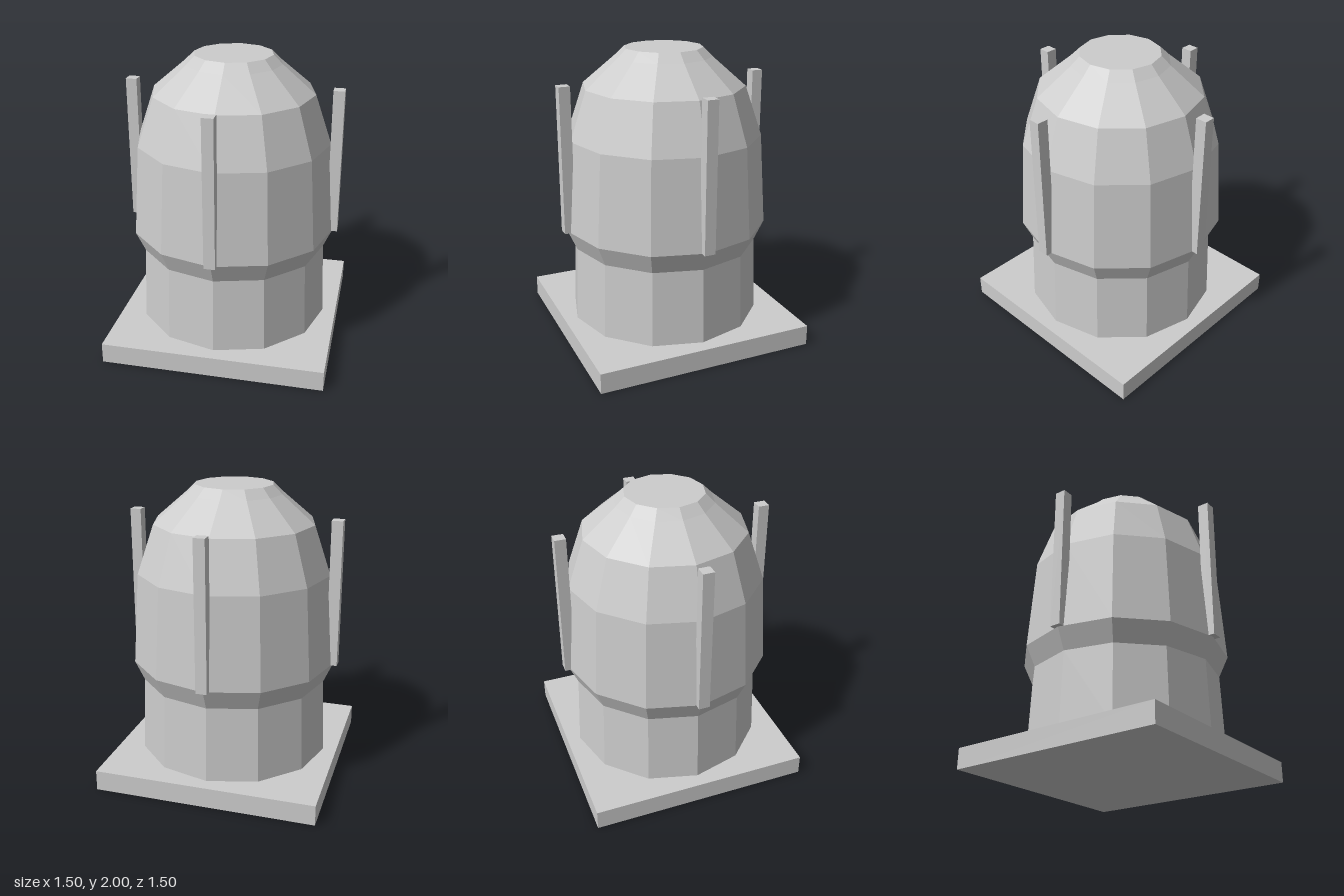
import * as THREE from 'three';

export function createModel() {
  const model = new THREE.Group();
  const grey = new THREE.MeshStandardMaterial({ color: 0xcccccc, flatShading: true });
  grey.name = 'light grey';

  const add = (name, geometry, x, y, z) => {
    const mesh = new THREE.Mesh(geometry, grey);
    mesh.name = name;
    mesh.position.set(x, y, z);
    model.add(mesh);
  };

  // Square base slab
  add('base', new THREE.BoxGeometry(1.505, 0.14, 1.505), 0, 0.07, 0);

  // Twelve-sided domed body with a flat top
  const profile = [
    [0.66, 0.14], [0.64, 0.66], [0.703, 0.8], [0.66, 1.42],
    [0.547, 1.75], [0.325, 1.94], [0.264, 2], [0, 2],
  ].map(([r, y]) => new THREE.Vector2(r, y));
  add('body', new THREE.LatheGeometry(profile, 12), 0, 0, 0);

  // Four upright posts on the shoulder
  const post = new THREE.BoxGeometry(0.075, 0.995, 0.075);
  const names = ['frontPost', 'leftPost', 'backPost', 'rightPost'];
  names.forEach((name, i) => {
    const a = i * Math.PI / 2;
    add(name, post, 0.696 * Math.sin(a), 1.2975, 0.696 * Math.cos(a));
  });

  return model;
}
